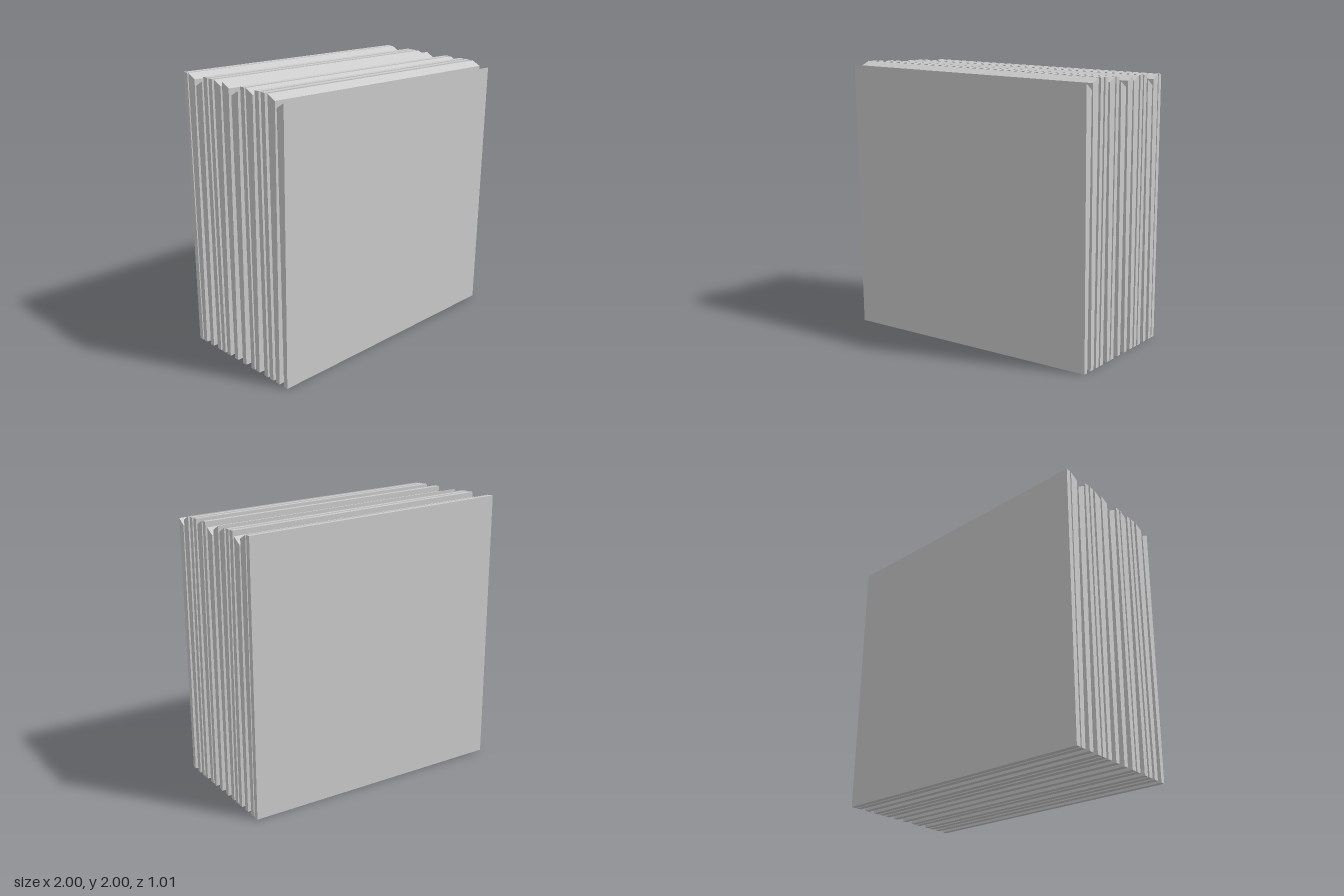
import * as THREE from 'three';

const material = new THREE.MeshStandardMaterial({ color: 0xcccccc, flatShading: true });

// Top edge heights at the tall end (x = -1) for each kind of slab: front edge, back edge
const TOPS = { flat: [2, 2], rising: [1.967, 2], falling: [1.967, 1.926] };
const END_DROP = 0.082; // every top runs downhill towards x = +1
const FLARE = 0.03;     // bevelled slabs lean forward and thicken towards the top

// Slabs from front to back: [kind, front z at the base, back z]
const SLABS = [
  ['falling', 0.475, 0.441],
  ['rising', 0.396, 0.358],
  ['flat', 0.331, 0.294],
  ['flat', 0.274, 0.237],
  ['rising', 0.185, 0.148],
  ['flat', 0.132, 0.095],
  ['falling', 0.039, 0.001],
  ['rising', -0.054, -0.091],
  ['rising', -0.138, -0.176],
  ['flat', -0.198, -0.234],
  ['flat', -0.251, -0.29],
  ['falling', -0.337, -0.374],
  ['rising', -0.419, -0.456],
  ['flat', -0.468, -0.505],
];

// A box whose corners are moved to the slab's thickness, flare and sloping top
function slabGeometry(kind, front, back) {
  const geometry = new THREE.BoxGeometry(2, 2, 1);
  const p = geometry.attributes.position;
  for (let i = 0; i < p.count; i++) {
    const isTop = p.getY(i) > 0, isFront = p.getZ(i) > 0;
    const drop = p.getX(i) > 0 ? END_DROP : 0;
    p.setY(i, isTop ? TOPS[kind][isFront ? 0 : 1] - drop : 0);
    const flare = kind !== 'flat' && isTop && isFront ? FLARE : 0;
    p.setZ(i, (isFront ? front : back) + flare);
  }
  geometry.computeVertexNormals();
  return geometry;
}

export function createModel() {
  const model = new THREE.Group();
  model.name = 'slabStack';
  SLABS.forEach(([kind, front, back], i) => {
    const slab = new THREE.Mesh(slabGeometry(kind, front, back), material);
    slab.name = `${kind}TopSlab${i + 1}`;
    model.add(slab);
  });
  return model;
}
